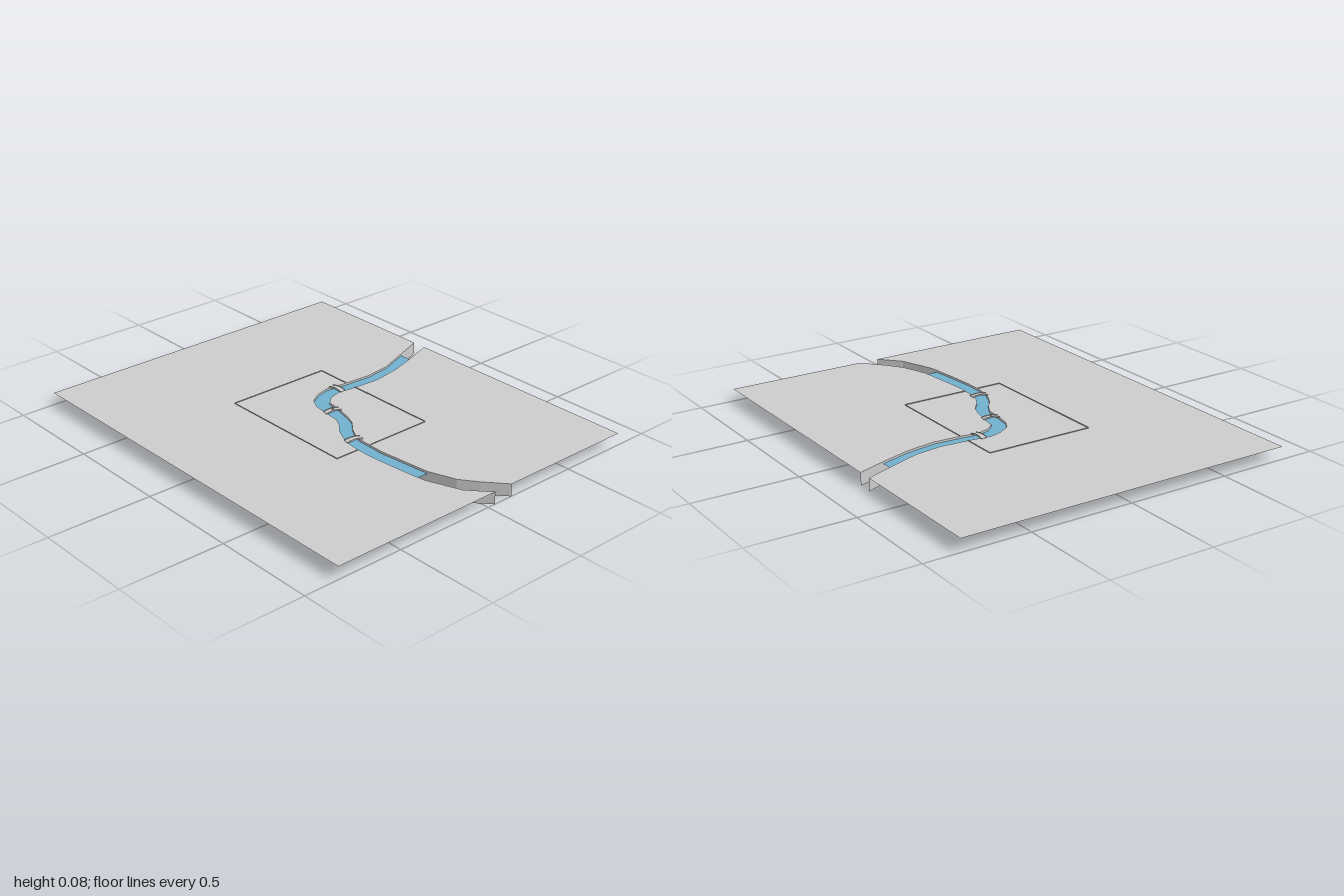
import * as THREE from 'three';

const GROUND_Y = 0.06, WATER_Y = 0.05;
const W = 1, D = 0.83;
const grey = new THREE.MeshStandardMaterial({ color: 0xcccccc, side: THREE.DoubleSide, flatShading: true });
const blue = new THREE.MeshStandardMaterial({ color: 0x70b0ce, side: THREE.DoubleSide });

// River banks as [x, z], from the back edge to the left edge
const southBank = [[-0.3, -D], [-0.246, -0.69], [-0.187, -0.53], [-0.17, -0.4], [-0.18, -0.25], [-0.193, -0.155],
  [-0.176, -0.09], [-0.14, -0.03], [-0.085, 0], [-0.016, 0.01], [0.075, 0.02], [0.13, 0.05], [0.17, 0.085],
  [0.22, 0.11], [0.27, 0.13], [0.35, 0.14], [0.44, 0.14], [0.57, 0.13], [0.69, 0.118], [0.74, 0.11], [0.9, 0.05], [W, -0.04]];
const northBank = [[-0.23, -D], [-0.176, -0.68], [-0.134, -0.545], [-0.11, -0.4], [-0.118, -0.26], [-0.128, -0.17],
  [-0.11, -0.11], [-0.075, -0.07], [-0.005, -0.06], [0.085, -0.037], [0.14, -0.016], [0.19, 0.027], [0.235, 0.053],
  [0.28, 0.07], [0.43, 0.075], [0.69, 0.05], [0.82, 0.005], [0.9, -0.053], [W, -0.14]];

function add(parent, name, geometry, material = grey) {
  const mesh = new THREE.Mesh(geometry, material);
  mesh.name = name;
  parent.add(mesh);
  return mesh;
}

// Flat sheet facing up from an [x, z] outline
function sheet(points, y) {
  const shape = new THREE.Shape(points.map(([x, z]) => new THREE.Vector2(x, -z)));
  return new THREE.ShapeGeometry(shape).rotateX(-Math.PI / 2).translate(0, y, 0);
}

// Vertical ribbon along an [x, z] line
function ribbon(points, y0, y1) {
  const pos = [], index = [];
  points.forEach(([x, z], i) => {
    pos.push(x, y0, z, x, y1, z);
    if (i) {
      const a = 2 * i - 2;
      index.push(a, a + 2, a + 1, a + 1, a + 2, a + 3);
    }
  });
  const g = new THREE.BufferGeometry();
  g.setAttribute('position', new THREE.Float32BufferAttribute(pos, 3));
  g.setIndex(index);
  g.computeVertexNormals();
  return g;
}

// Arched slab spanning local x, with a given width along z
function arch(length, width, rise, thickness) {
  const h = length / 2, s = new THREE.Shape();
  s.moveTo(-h, 0);
  s.quadraticCurveTo(0, rise * 2, h, 0);
  s.lineTo(h, -thickness);
  s.quadraticCurveTo(0, rise * 2 - thickness, -h, -thickness);
  return new THREE.ExtrudeGeometry(s, { depth: width, bevelEnabled: false, curveSegments: 8 })
    .translate(0, 0, -width / 2);
}

function bridge(name, x, z, angle, length, width) {
  const g = new THREE.Group();
  g.name = name;
  add(g, 'deck', arch(length, width, 0.006, 0.004));
  for (const side of [-1, 1]) {
    const rail = add(g, 'parapet', arch(length, 0.003, 0.006, 0.004));
    rail.position.set(0, 0.003, side * (width / 2 - 0.0015));
  }
  g.position.set(x, GROUND_Y + 0.002, z);
  g.rotation.y = angle;
  return g;
}

export function createModel() {
  const model = new THREE.Group();
  model.name = 'riverLandscape';

  // Ground on either side of the river
  add(model, 'southGround', sheet([...southBank, [W, D], [-W, D], [-W, -D]], GROUND_Y));
  add(model, 'northGround', sheet([...northBank, [W, -D]], GROUND_Y));

  // Channel sides
  add(model, 'southBankWall', ribbon(southBank, 0, GROUND_Y));
  add(model, 'northBankWall', ribbon(northBank, 0, GROUND_Y));

  // Square water sheet under the ground
  const r = 0.69;
  add(model, 'water', sheet([[-r, -r], [r, -r], [r, r], [-r, r]], WATER_Y), blue);

  // Low boundary line, broken where the river passes
  const bx = 0.355, bz = 0.265;
  add(model, 'northBoundary', ribbon([[-0.118, -bz], [bx, -bz], [bx, 0.07]], GROUND_Y, GROUND_Y + 0.004));
  add(model, 'southBoundary', ribbon([[bx, 0.14], [bx, bz], [-bx, bz], [-bx, -bz], [-0.18, -bz]], GROUND_Y, GROUND_Y + 0.004));

  // Three footbridges
  model.add(bridge('backBridge', -0.16, -0.192, 0.08, 0.075, 0.03));
  const middle = bridge('middleBridge', -0.002, -0.024, Math.PI / 2 - 0.17, 0.08, 0.03);
  add(middle, 'post', new THREE.BoxGeometry(0.006, 0.012, 0.006)).position.y = 0.011;
  model.add(middle);
  model.add(bridge('leftBridge', 0.27, 0.092, Math.PI / 2 - 0.17, 0.08, 0.03));

  return model;
}
